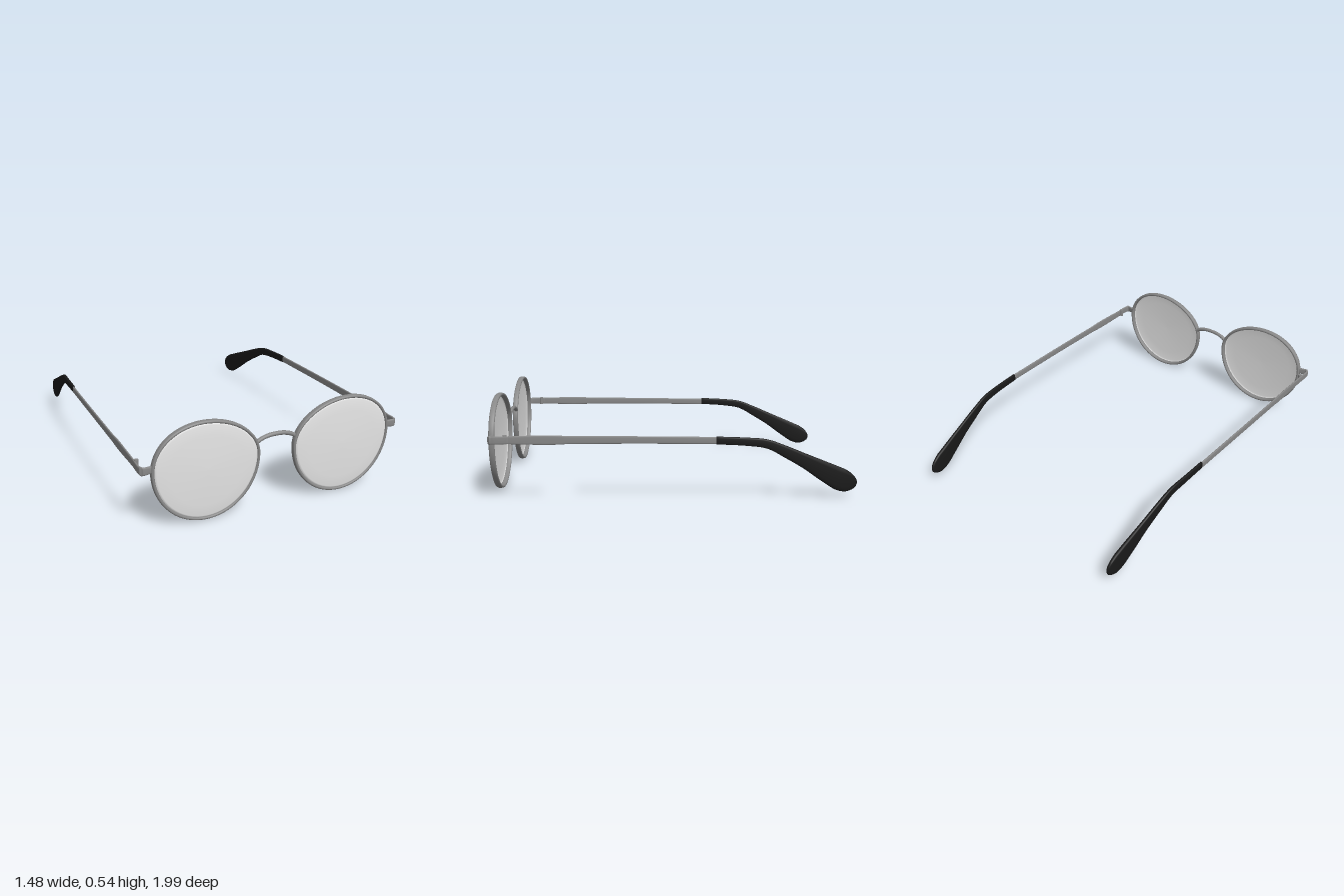
import * as THREE from 'three';

const metal = new THREE.MeshStandardMaterial({ color: 0x888888 });
metal.name = 'grey metal';
const rubber = new THREE.MeshStandardMaterial({ color: 0x191919 });
rubber.name = 'black tip';
const glass = new THREE.MeshStandardMaterial({ color: 0xe4e4e4, side: THREE.DoubleSide });
glass.name = 'pale lens';

// Rounded-rectangle section: centre c, half extents a along u and b along v
function section(c, u, a, v, b, n = 16, power = 0.55) {
  const ring = [];
  for (let i = 0; i < n; i++) {
    const t = (i / n) * Math.PI * 2;
    const cu = Math.sign(Math.cos(t)) * Math.abs(Math.cos(t)) ** power * a;
    const cv = Math.sign(Math.sin(t)) * Math.abs(Math.sin(t)) ** power * b;
    ring.push(c.clone().addScaledVector(u, cu).addScaledVector(v, cv));
  }
  return ring;
}

// Skin a list of rings, closed on itself or capped at the start and end
function loft(rings, { closed = false, startCap = false, endCap = false }) {
  const n = rings[0].length, m = rings.length, pos = [], idx = [];
  rings.forEach(r => r.forEach(p => pos.push(p.x, p.y, p.z)));
  for (let i = 0; i < (closed ? m : m - 1); i++) {
    for (let j = 0; j < n; j++) {
      const k = (j + 1) % n, i2 = (i + 1) % m;
      const a = i * n + j, b = i * n + k, c = i2 * n + j, d = i2 * n + k;
      idx.push(a, b, c, b, d, c);
    }
  }
  const cap = (row, flip) => {
    const mid = rings[row].reduce((s, p) => s.add(p), new THREE.Vector3()).divideScalar(n);
    const centre = pos.length / 3;
    pos.push(mid.x, mid.y, mid.z);
    for (let j = 0; j < n; j++) {
      const a = row * n + j, b = row * n + (j + 1) % n;
      if (flip) idx.push(centre, b, a); else idx.push(centre, a, b);
    }
  };
  if (startCap) cap(0, true);
  if (endCap) cap(m - 1, false);
  const g = new THREE.BufferGeometry();
  g.setAttribute('position', new THREE.Float32BufferAttribute(pos, 3));
  g.setIndex(idx);
  g.computeVertexNormals();
  return g;
}

// Upright strip through rows of [x, y, z, half thickness, half height]
function ribbon(rows, steps) {
  const path = new THREE.CatmullRomCurve3(rows.map(r => new THREE.Vector3(r[0], r[1], r[2])));
  const size = new THREE.CatmullRomCurve3(rows.map(r => new THREE.Vector3(r[3], r[4], 0)));
  const up = new THREE.Vector3(0, 1, 0), rings = [];
  for (let i = 0; i <= steps; i++) {
    const t = path.getTangent(i / steps).setY(0).normalize();
    const s = size.getPoint(i / steps);
    rings.push(section(path.getPoint(i / steps), up.clone().cross(t), s.x, up, s.y));
  }
  return loft(rings, { startCap: true, endCap: true });
}

// The front is turned very slightly
const frontZ = x => 0.968 - 0.013 * x;

// Point on the outer edge of a lens opening, wider below than above
function outline(side, t) {
  const c = Math.cos(t), s = Math.sin(t);
  const x = 0.389 + 0.294 * c * side + 0.02 * Math.max(0, s) ** 2;
  return new THREE.Vector2(side * x, 0.309 + (s > 0 ? 0.23 : 0.309) * s);
}

function rimGeometry(side) {
  const rings = [], n = 96, back = new THREE.Vector3(0, 0, -1);
  for (let i = 0; i < n; i++) {
    const t = (i / n) * Math.PI * 2, p = outline(side, t);
    const d = outline(side, t + 0.01).sub(outline(side, t - 0.01)).normalize();
    const out = new THREE.Vector3(d.y, -d.x, 0);
    const c = new THREE.Vector3(p.x, p.y, frontZ(p.x)).addScaledVector(out, -0.0085);
    rings.push(section(c, out, 0.0085, back, 0.016, 12, 0.7));
  }
  return loft(rings, { closed: true });
}

// Shallow dome with a rolled edge, as [scale, height] rings
function lensGeometry(side) {
  const profile = [[0.965, 0], [0.945, 0.009], [0.91, 0.014], [0.7, 0.018], [0.35, 0.022], [0.02, 0.023]];
  const n = 64, cx = 0.39 * side, cy = 0.28;
  const rings = profile.map(([r, z]) => {
    const ring = [];
    for (let i = 0; i < n; i++) {
      const p = outline(side, (i / n) * Math.PI * 2);
      const x = cx + (p.x - cx) * r;
      ring.push(new THREE.Vector3(x, cy + (p.y - cy) * r, frontZ(x) + z));
    }
    return ring;
  });
  return loft(rings, { endCap: true });
}

export function createModel() {
  const model = new THREE.Group();
  const add = (geometry, material, name) => {
    const mesh = new THREE.Mesh(geometry, material);
    mesh.name = name;
    model.add(mesh);
    return mesh;
  };

  for (const [side, label] of [[1, 'left'], [-1, 'right']]) {
    add(rimGeometry(side), metal, label + 'Rim');
    add(lensGeometry(side), glass, label + 'Lens');
  }

  // Arched bridge
  const arch = [[-0.114, 0.362], [-0.088, 0.378], [-0.045, 0.391], [0, 0.394], [0.045, 0.391], [0.088, 0.378], [0.114, 0.362]];
  const bridge = new THREE.CatmullRomCurve3(arch.map(([x, y]) => new THREE.Vector3(x, y, frontZ(x) - 0.005)));
  add(new THREE.TubeGeometry(bridge, 32, 0.0115, 10), metal, 'bridge');

  // End pieces wrapping round from the rims
  add(ribbon([[0.67, 0.332, 0.955, 0.008, 0.018], [0.7, 0.332, 0.962, 0.007, 0.02], [0.722, 0.332, 0.964, 0.006, 0.021],
    [0.731, 0.333, 0.95, 0.006, 0.021], [0.729, 0.334, 0.86, 0.005, 0.021]], 32), metal, 'leftEndPiece');
  add(ribbon([[-0.67, 0.332, 0.975, 0.008, 0.018], [-0.7, 0.332, 0.982, 0.007, 0.02], [-0.724, 0.332, 0.983, 0.006, 0.021],
    [-0.734, 0.333, 0.968, 0.006, 0.021], [-0.735, 0.334, 0.87, 0.005, 0.021]], 32), metal, 'rightEndPiece');

  // Metal temples
  add(ribbon([[0.729, 0.334, 0.88, 0.005, 0.021], [0.725, 0.333, 0.55, 0.005, 0.021], [0.718, 0.331, 0.2, 0.005, 0.02],
    [0.708, 0.325, -0.24, 0.006, 0.019]], 24), metal, 'leftTemple');
  add(ribbon([[-0.735, 0.334, 0.88, 0.005, 0.021], [-0.737, 0.333, 0.55, 0.005, 0.021], [-0.737, 0.331, 0.2, 0.005, 0.02],
    [-0.734, 0.325, -0.24, 0.006, 0.019]], 24), metal, 'rightTemple');

  // Curved ear tips: y, z, half thickness, half height, then x on each side
  const tip = [
    [0.325, -0.23, 0.008, 0.021, 0.708, -0.734], [0.317, -0.38, 0.009, 0.022, 0.701, -0.73],
    [0.302, -0.5, 0.01, 0.025, 0.692, -0.723], [0.258, -0.6, 0.011, 0.034, 0.683, -0.716],
    [0.207, -0.7, 0.011, 0.043, 0.674, -0.709], [0.151, -0.8, 0.012, 0.058, 0.664, -0.702],
    [0.109, -0.88, 0.013, 0.067, 0.655, -0.696], [0.092, -0.93, 0.013, 0.063, 0.65, -0.693],
    [0.084, -0.97, 0.011, 0.044, 0.645, -0.691], [0.08, -0.99, 0.008, 0.025, 0.643, -0.69],
    [0.08, -0.998, 0.003, 0.008, 0.642, -0.69]];
  add(ribbon(tip.map(([y, z, a, b, x]) => [x, y, z, a, b]), 60), rubber, 'leftEarTip');
  add(ribbon(tip.map(([y, z, a, b, , x]) => [x, y + 0.004, -0.23 + (z + 0.23) * 0.98, a, b]), 60), rubber, 'rightEarTip');

  // Hinge barrels on the inside of the end pieces
  for (const [x, z, name] of [[0.722, 0.88, 'leftHinge'], [-0.725, 0.895, 'rightHinge']]) {
    add(new THREE.CylinderGeometry(0.011, 0.011, 0.046, 16), metal, name).position.set(x, 0.335, z);
  }
  return model;
}
